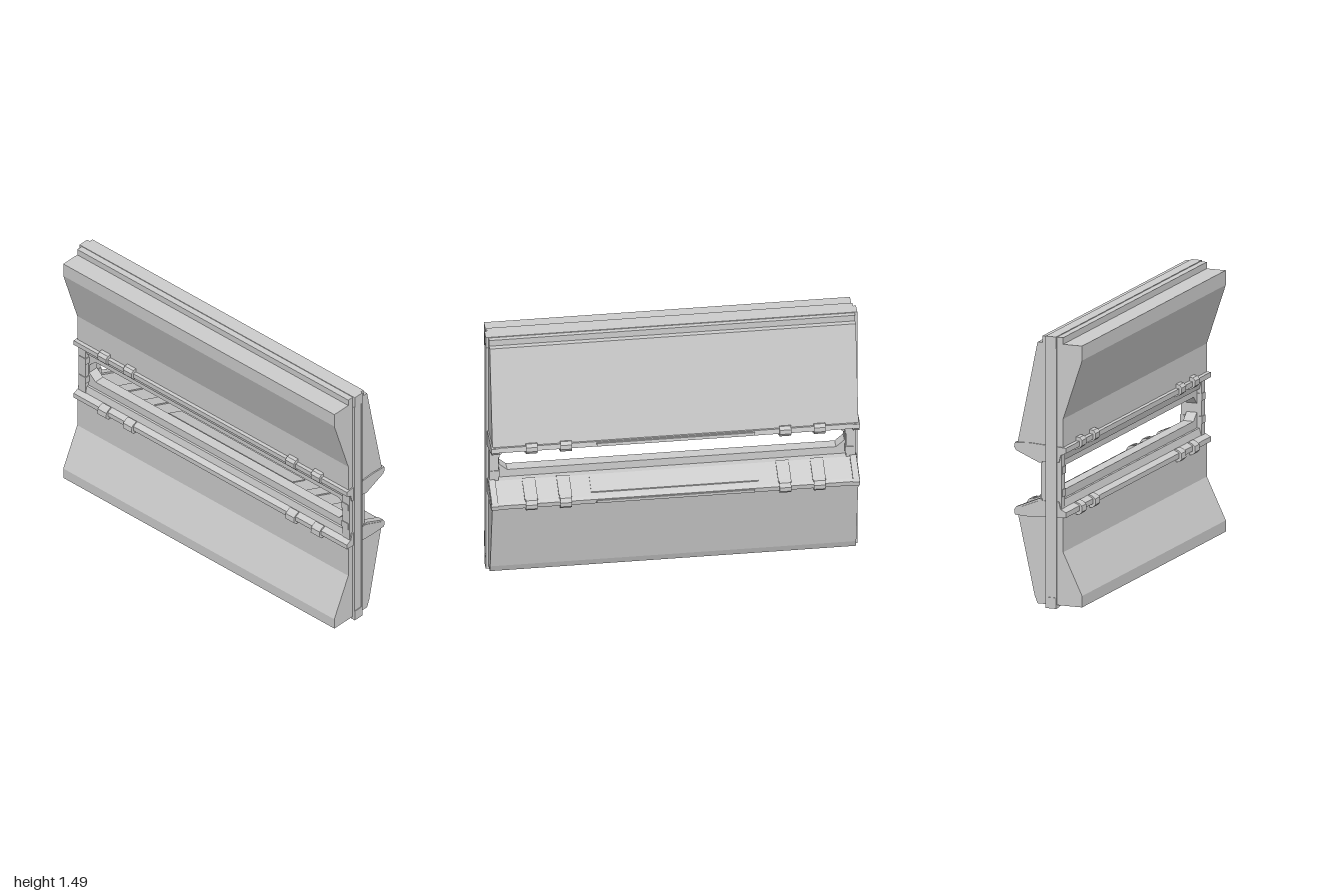
import * as THREE from 'three';

const grey = new THREE.MeshStandardMaterial({ color: 0xcccccc, flatShading: true });

// Mirrors a lower [z, y] profile about the middle of the viewing slot
const flip = (pts) => pts.map(([z, y]) => [z, 1.385 - y]);

export function createModel() {
  const root = new THREE.Group();

  const add = (name, geometry) => {
    const mesh = new THREE.Mesh(geometry, grey);
    mesh.name = name;
    root.add(mesh);
    return mesh;
  };
  const box = (name, x0, x1, y0, y1, z0, z1) => {
    const g = new THREE.BoxGeometry(x1 - x0, y1 - y0, z1 - z0);
    g.translate((x0 + x1) / 2, (y0 + y1) / 2, (z0 + z1) / 2);
    return add(name, g);
  };
  // Sweeps a [z, y] section along x
  const sweep = (name, pts, width, x = 0) => {
    const shape = new THREE.Shape(pts.map(([z, y]) => new THREE.Vector2(z, y)));
    const g = new THREE.ExtrudeGeometry(shape, { depth: width, bevelEnabled: false });
    g.translate(0, 0, -width / 2).rotateY(-Math.PI / 2).translate(x, 0, 0);
    return add(name, g);
  };

  // Armoured panels, flared forward at the outer edge and back toward the slot
  sweep('lowerPanel', [[0.2, 0.018], [0.2, 0.08], [0.09, 0.31], [0.09, 0.5],
    [-0.172, 0.5], [-0.075, 0.06], [-0.058, 0.018]], 1.97);
  sweep('upperPanel', [[0.2, 1.45], [0.2, 1.37], [0.09, 1.04], [0.09, 0.885],
    [-0.175, 0.885], [-0.058, 1.45]], 1.97);

  // Top and bottom rails
  box('topRail', -0.985, 0.985, 1.45, 1.486, -0.03, 0.09);
  box('topRailRidge', -0.95, 0.95, 1.486, 1.49, -0.005, 0.055);
  box('bottomRail', -0.985, 0.985, 0.004, 0.02, -0.005, 0.055);

  // Sections shared by both sides of the slot
  const sill = [[0.11, 0.502], [0.11, 0.53], [0.078, 0.545], [0.068, 0.585],
    [-0.04, 0.585], [-0.172, 0.532], [-0.188, 0.522], [-0.183, 0.494], [-0.1, 0.49]];
  const sillEnd = [[-0.03, 0.57], [-0.03, 0.593], [-0.05, 0.593],
    [-0.18, 0.538], [-0.192, 0.52], [-0.188, 0.495], [-0.16, 0.495]];
  const pad = [[-0.05, 0.57], [-0.05, 0.587], [-0.15, 0.547], [-0.15, 0.53]];
  const strap = [[-0.04, 0.575], [-0.04, 0.592], [-0.17, 0.541], [-0.17, 0.525]];
  const frontClip = [[0.075, 0.5], [0.085, 0.478], [0.11, 0.482], [0.125, 0.497],
    [0.122, 0.528], [0.108, 0.541], [0.085, 0.55], [0.075, 0.54]];
  const backClip = [[-0.16, 0.52], [-0.16, 0.549], [-0.185, 0.541], [-0.199, 0.52],
    [-0.197, 0.495], [-0.183, 0.479], [-0.168, 0.483], [-0.165, 0.5]];
  const bar = [[-0.17, 0.5], [-0.17, 0.518], [-0.195, 0.518], [-0.193, 0.5]];

  for (const [side, place] of [['lower', (p) => p], ['upper', flip]]) {
    sweep(side + 'Sill', place(sill), 1.985);
    sweep(side + 'SillPad', place(pad), 0.9);
    sweep(side + 'BackBar', place(bar), 0.85);
    for (const s of [-1, 1]) {
      sweep(side + 'SillEnd', place(sillEnd), 0.035, s * 0.972);
      for (const x of [0.59, 0.775]) {
        sweep(side + 'FrontClip', place(frontClip), 0.062, s * x);
        sweep(side + 'BackClip', place(backClip), 0.062, s * x);
        sweep(side + 'Strap', place(strap), 0.07, s * x);
      }
    }
  }

  // Slot frame with a chamfered opening
  const plate = new THREE.Shape();
  plate.moveTo(-0.96, 0.57).lineTo(0.96, 0.57).lineTo(0.96, 0.815).lineTo(-0.96, 0.815).closePath();
  const hole = new THREE.Path();
  hole.moveTo(-0.93, 0.67).lineTo(-0.93, 0.72).lineTo(-0.885, 0.762).lineTo(0.885, 0.762)
    .lineTo(0.93, 0.72).lineTo(0.93, 0.67).lineTo(0.885, 0.63).lineTo(-0.885, 0.63).closePath();
  plate.holes.push(hole);
  const frame = new THREE.ExtrudeGeometry(plate, { depth: 0.06, bevelEnabled: false });
  frame.translate(0, 0, -0.005);
  add('slotFrame', frame);

  for (const s of [-1, 1]) {
    const side = (name, a, b, ...rest) => box(name, Math.min(s * a, s * b), Math.max(s * a, s * b), ...rest);
    // Posts beside the slot
    side('slotPost', 0.935, 0.985, 0.53, 0.855, -0.038, 0.08);
    side('postBracket', 0.93, 0.978, 0.61, 0.65, -0.042, 0.084);
    side('postBracket', 0.93, 0.978, 0.735, 0.775, -0.042, 0.084);
    // Side spine that joins neighbouring walls
    side('sideSpine', 0.96, 0.996, 0.06, 1.425, -0.005, 0.055);
    side('spineFoot', 0.95, 1, 0, 0.06, -0.005, 0.055);
    side('spineCap', 0.95, 1, 1.425, 1.49, -0.005, 0.055);
    side('spineEdge', 0.99, 1, 0.06, 1.425, -0.007, 0.002);
    side('spineEdge', 0.99, 1, 0.06, 1.425, 0.048, 0.057);
  }
  return root;
}
